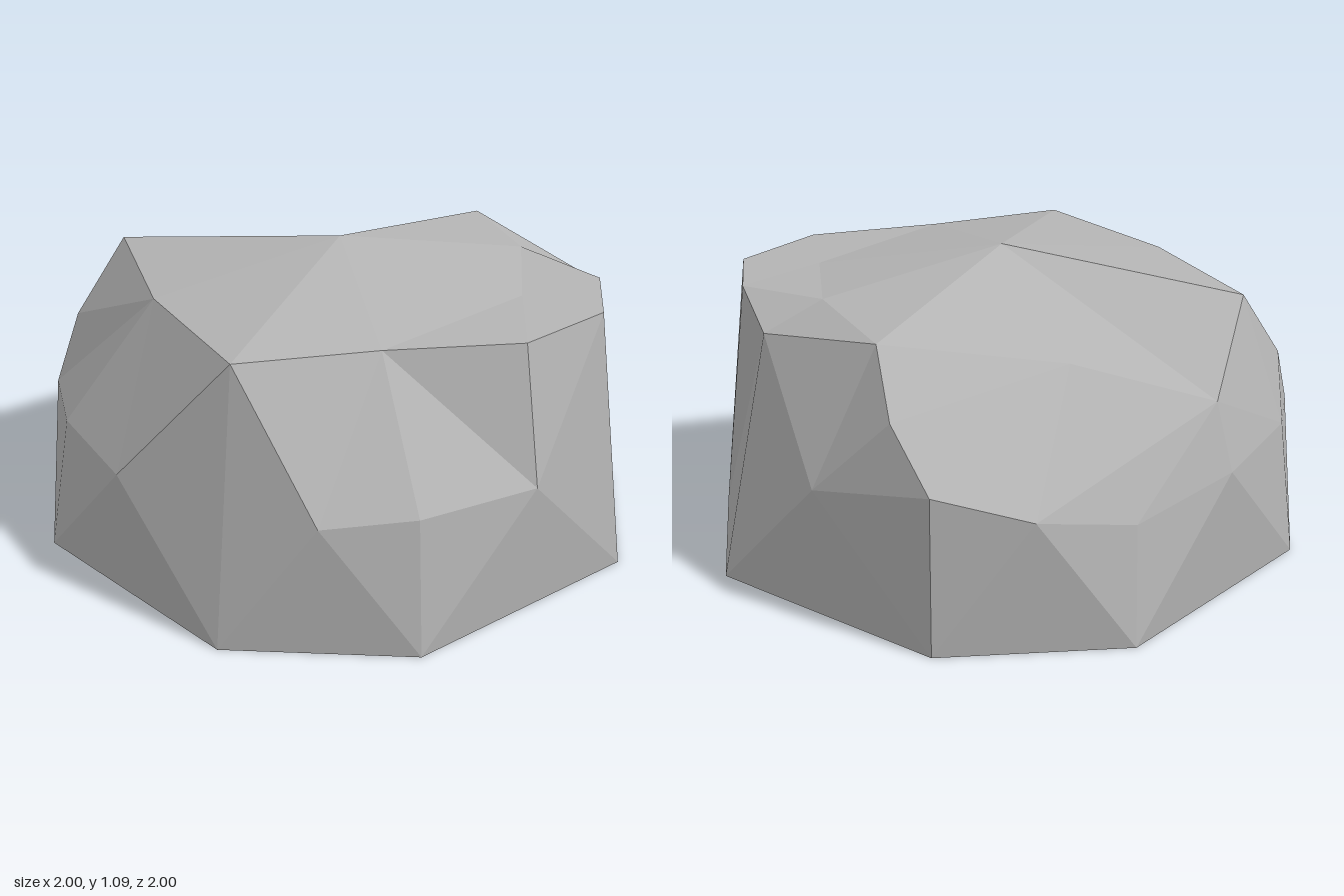
import * as THREE from 'three';

// Stitch two closed loops (running counter-clockwise seen from above).
// Each letter advances one loop: l = lower, u = upper. Shared corners collapse and are skipped.
function stitch(out, lower, upper, steps) {
  let i = 0, j = 0;
  for (const s of steps.replaceAll(' ', '')) {
    const a = lower[i % lower.length], c = upper[j % upper.length];
    const b = s === 'l' ? lower[++i % lower.length] : upper[++j % upper.length];
    addFace(out, a, b, c);
  }
}

function addFace(out, a, b, c) {
  if (a !== b && b !== c && a !== c) out.push(...a, ...b, ...c);
}

function fan(out, loop, centre, down) {
  loop.forEach((p, i) => {
    const q = loop[(i + 1) % loop.length];
    if (down) addFace(out, q, p, centre);
    else addFace(out, p, q, centre);
  });
}

export function createModel() {
  // Octagonal footprint, starting at the front
  const base = [[-0.48, 0.96], [0.48, 0.96], [0.96, 0.48], [0.96, -0.48],
    [0.48, -0.96], [-0.48, -0.96], [-0.96, -0.48], [-0.96, 0.48]].map(([x, z]) => [x, 0, z]);

  // Corners shared by several loops
  const frontA = [0.42, 0.96, 0.88], frontB = [0.64, 0.96, 0.66], frontC = [0.79, 0.88, 0.41];
  const sideTop = [0.79, 0.96, -0.11], sideLow = [0.96, 0.57, -0.48], backCorner = [0.74, 0.48, -0.74];
  const backNotch = [0, 0.72, -0.93], backTop = [-0.39, 0.96, -0.77];
  const farTop = [-0.66, 0.96, -0.22], farFront = [-0.8, 0.96, 0.38], frontDent = [-0.36, 0.96, 0.62];

  // Widest band, running up to the rim where the rock is sheared flat
  const belt = [[-0.46, 0.49, 0.92], [0, 0.48, 1], frontA, frontB, frontC, [1, 0.48, 0], sideLow,
    backCorner, [0.42, 0.41, -0.91], [0, 0.48, -1], [-0.46, 0.49, -0.91], [-0.72, 0.48, -0.76],
    [-0.9, 0.49, -0.44], [-1, 0.48, 0], farFront, [-0.74, 0.48, 0.74]];

  // Shoulder edge
  const rim = [frontDent, [0.04, 0.96, 0.89], frontA, frontB, frontC, sideTop, [0.93, 0.77, -0.29],
    sideLow, backCorner, backNotch, backTop, [-0.59, 0.7, -0.8], farTop, farFront];

  // Shallow top facets around the peak
  const crown = [frontDent, [0.3, 0.97, 0.61], [0.61, 0.98, 0.3], sideTop, [0.28, 0.84, -0.52],
    backNotch, backTop, farTop, farFront];

  const out = [];
  fan(out, base, [0, 0, 0], true);
  stitch(out, base, belt, 'u l uuu l u l uu l uu l uu l uu l uu l u');
  stitch(out, belt, rim, 'l uu l u l u ll uuu l u ll u ll uu l u ll u ll u l');
  stitch(out, rim, crown, 'l u ll u ll u l u lll u l u l u ll u l u');
  fan(out, crown, [0, 1.09, 0], false);

  const geometry = new THREE.BufferGeometry();
  geometry.setAttribute('position', new THREE.Float32BufferAttribute(out, 3));
  geometry.computeVertexNormals(); // unshared corners give flat facets

  const stone = new THREE.MeshStandardMaterial({ color: 0xb4b4b4, flatShading: true });
  stone.name = 'grey stone';
  const rock = new THREE.Mesh(geometry, stone);
  rock.name = 'rock';

  const group = new THREE.Group();
  group.name = 'boulder';
  group.add(rock);
  return group;
}
